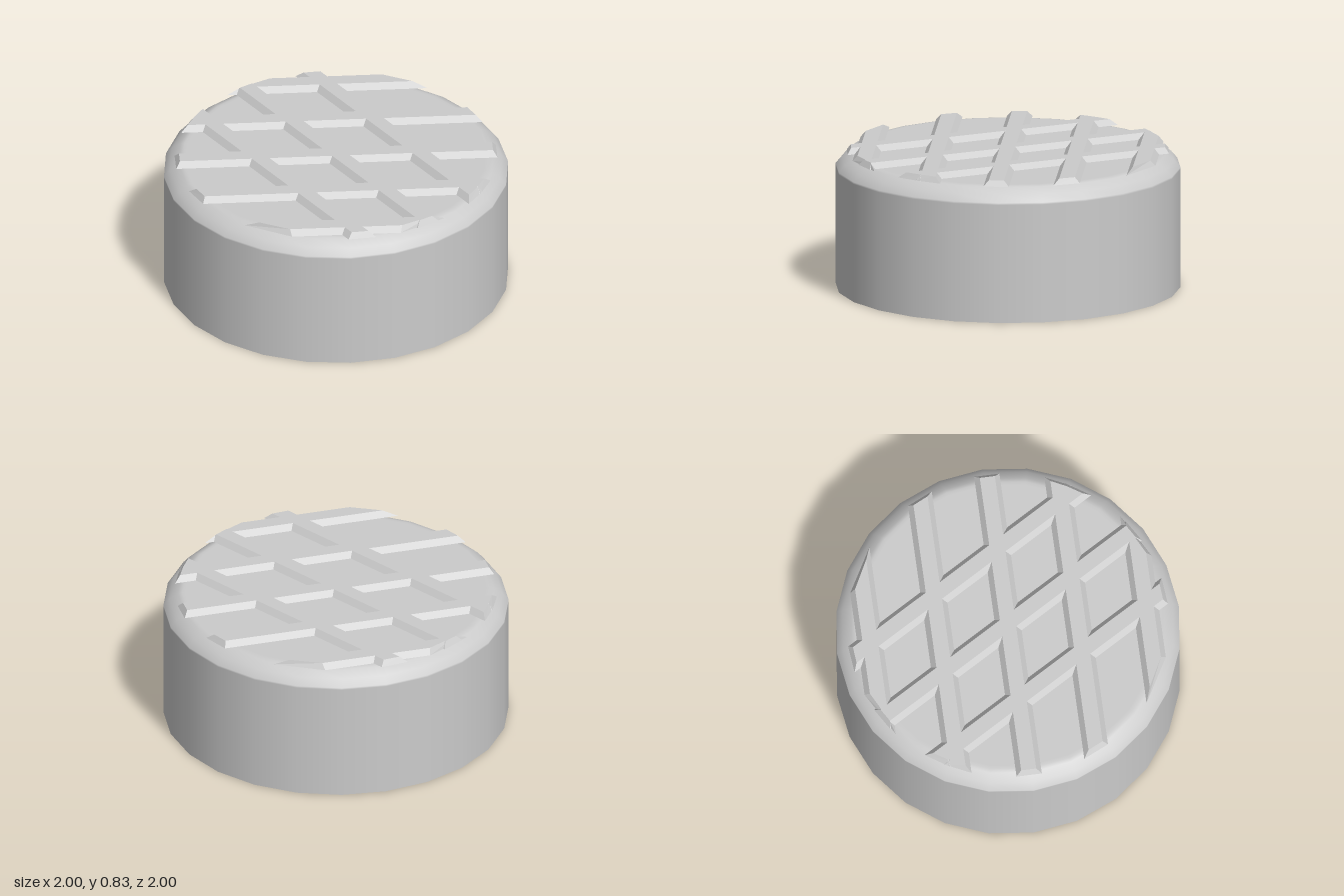
import * as THREE from 'three';

const material = new THREE.MeshStandardMaterial({ color: 0xcccccc, flatShading: true });
const FLOOR = 0.793, RIB_TOP = 0.827;

// Four corners of a strip across a disc: direction d, distance s from centre, half width h
function stripCorners(d, s, h, radius, y) {
  return [[s - h, -1], [s - h, 1], [s + h, 1], [s + h, -1]].map(([o, side]) => {
    const l = side * Math.sqrt(Math.max(0, radius * radius - o * o));
    return [d.z * o + d.x * l, y, -d.x * o + d.z * l];
  });
}

// Bevelled bar spanning the disc from rim to rim
function rib(name, d, s) {
  const base = stripCorners(d, s, 0.074, 0.935, FLOOR + 0.001);
  const top = stripCorners(d, s, 0.044, 0.91, RIB_TOP);
  const pos = [];
  const quad = (a, b, c, e) => pos.push(...a, ...b, ...c, ...a, ...c, ...e);
  quad(...top);
  quad(...base.slice().reverse());
  for (let i = 0; i < 4; i++) {
    const j = (i + 1) % 4;
    quad(base[i], base[j], top[j], top[i]);
  }
  const geometry = new THREE.BufferGeometry();
  geometry.setAttribute('position', new THREE.Float32BufferAttribute(pos, 3));
  geometry.computeVertexNormals();
  const mesh = new THREE.Mesh(geometry, material);
  mesh.name = name;
  return mesh;
}

export function createModel() {
  const group = new THREE.Group();
  group.name = 'ribbedCap';

  // Hollow shell, open at the bottom, with a softened top rim
  const profile = [[1, 0], [1, 0.7], [1, 0.712], [0.965, 0.753], [0.915, 0.788], [0.89, FLOOR], [0.87, FLOOR], [0, FLOOR]]
    .map(([r, y]) => new THREE.Vector2(r, y));
  const shell = new THREE.Mesh(
    new THREE.LatheGeometry(profile, 24),
    new THREE.MeshStandardMaterial({ color: 0xcccccc, side: THREE.DoubleSide })
  );
  shell.name = 'shell';
  group.add(shell);

  // Three straight ribs from front to back
  const straight = new THREE.Vector3(0, 0, 1);
  for (const s of [-0.4, 0, 0.4]) group.add(rib('straightRib', straight, s));

  // Five slanted ribs crossing them
  const slanted = new THREE.Vector3(1, 0, 0.6).normalize();
  for (let i = -2; i <= 2; i++) group.add(rib('slantedRib', slanted, i * 0.403));

  return group;
}
